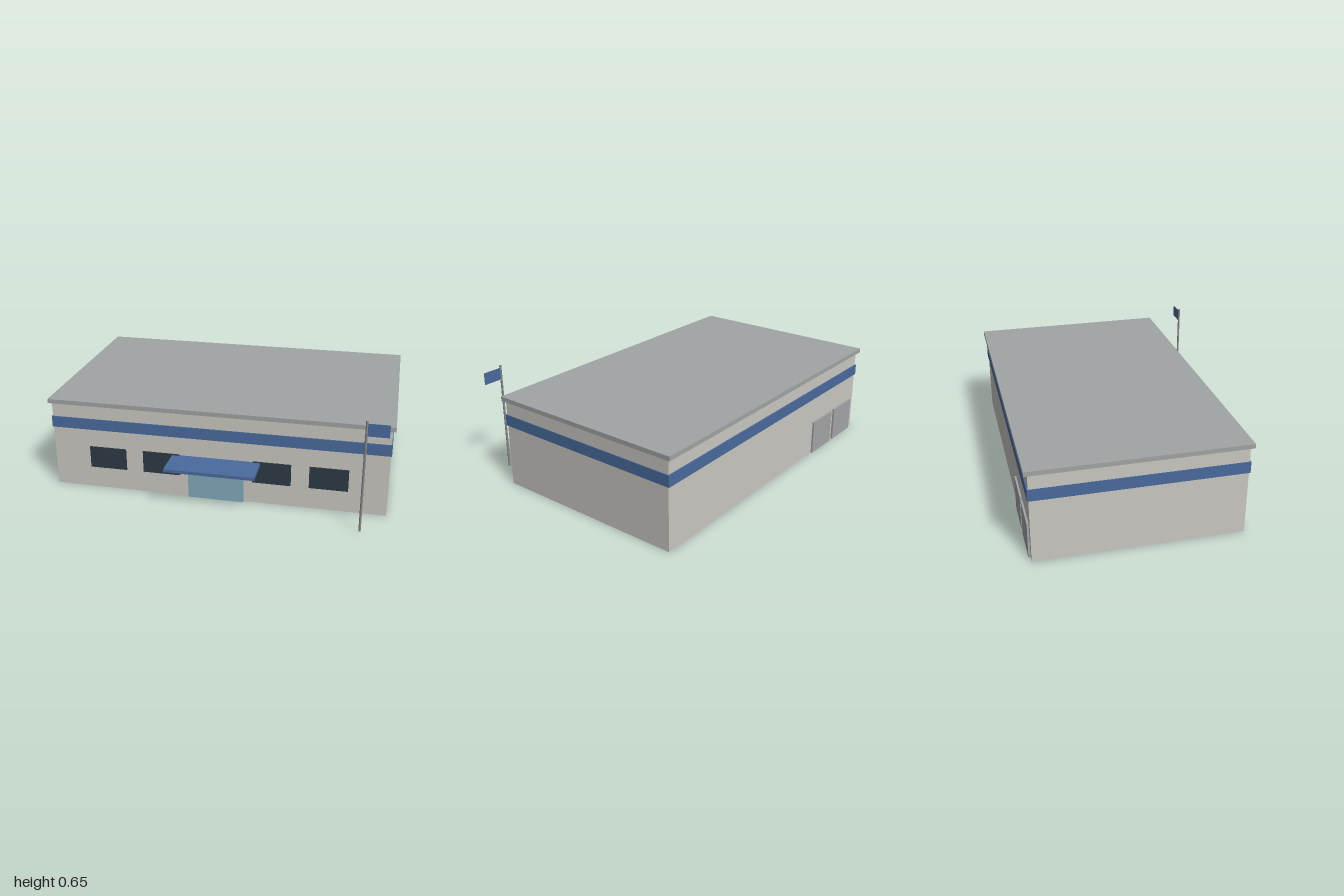
import * as THREE from 'three';

const material = (name, color) => {
  const m = new THREE.MeshStandardMaterial({ color });
  m.name = name;
  return m;
};

export function createModel() {
  const wall = material('wall', 0xcac8c2);
  const roofGrey = material('roofGrey', 0xa2a5a5);
  const blue = material('blue', 0x4a6b9e);
  const darkGlass = material('darkGlass', 0x2c3a45);
  const paleGlass = material('paleGlass', 0x82abbc);
  const doorGrey = material('doorGrey', 0xa3a5a8);
  const poleGrey = material('poleGrey', 0x88898a);

  const model = new THREE.Group();
  model.name = 'building';

  // Box given by its limits on each axis
  const box = (name, mat, [x0, x1], [y0, y1], [z0, z1]) => {
    const mesh = new THREE.Mesh(new THREE.BoxGeometry(x1 - x0, y1 - y0, z1 - z0), mat);
    mesh.position.set((x0 + x1) / 2, (y0 + y1) / 2, (z0 + z1) / 2);
    mesh.name = name;
    model.add(mesh);
    return mesh;
  };

  // Hall with a stripe around it and an overhanging flat roof
  box('walls', wall, [-0.983, 0.983], [0, 0.527], [-0.679, 0.5]);
  box('stripe', blue, [-0.988, 0.988], [0.374, 0.441], [-0.686, 0.507]);
  box('roof', roofGrey, [-1, 1], [0.527, 0.553], [-0.7, 0.518]);

  // Front windows, mirrored about the entrance
  for (const side of [-1, 1]) {
    for (const x of [0.326, 0.652]) {
      box('window', darkGlass, [side * x - 0.111, side * x + 0.111], [0.132, 0.264], [0.5, 0.508]);
    }
  }

  // Entrance and canopy
  box('entrance', paleGlass, [-0.164, 0.164], [0, 0.224], [0.49, 0.516]);
  box('canopy', blue, [-0.259, 0.259], [0.24, 0.259], [0.5, 0.69]);

  // Loading doors at the back
  for (const x of [-0.565, -0.828]) {
    box('loadingDoor', doorGrey, [x - 0.114, x + 0.114], [0, 0.21], [-0.69, -0.67]);
  }

  // Flagpole and flag
  const pole = new THREE.Mesh(new THREE.CylinderGeometry(0.0065, 0.0065, 0.655, 12), poleGrey);
  pole.position.set(0.847, 0.3275, 0.6935);
  pole.name = 'flagpole';
  model.add(pole);
  box('flag', blue, [0.85, 0.967], [0.569, 0.64], [0.6915, 0.6955]);

  return model;
}
